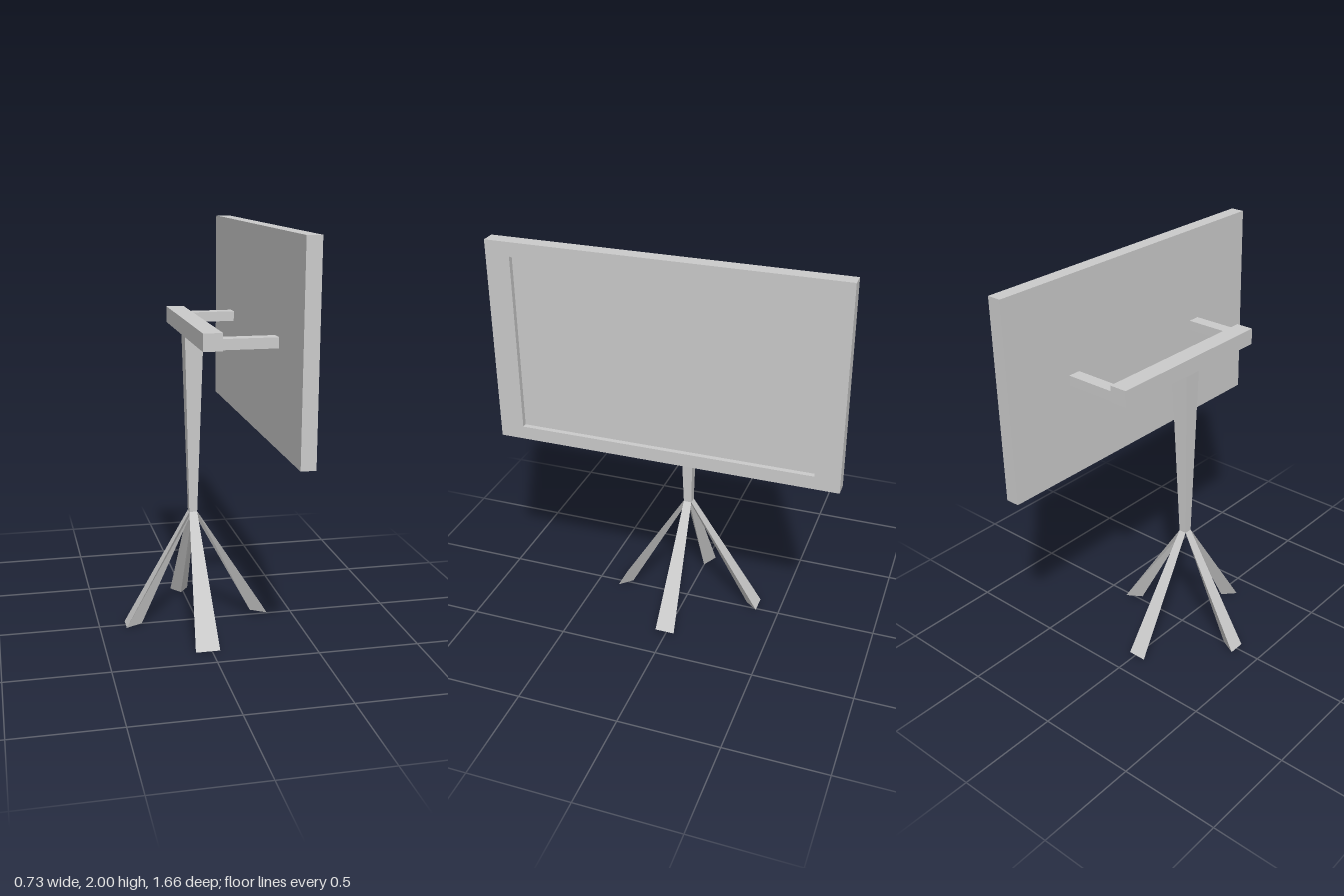
import * as THREE from 'three';

const material = new THREE.MeshStandardMaterial({ color: 0xcccccc, flatShading: true });
const CX = -0.02; // x of the pole's axis

function addMesh(parent, name, geometry, x = 0, y = 0, z = 0) {
  const mesh = new THREE.Mesh(geometry, material);
  mesh.name = name;
  mesh.position.set(x, y, z);
  parent.add(mesh);
  return mesh;
}

// Box given by its minimum and maximum corners
function addBox(parent, name, a, b) {
  const size = b.map((v, i) => v - a[i]);
  const mid = b.map((v, i) => (v + a[i]) / 2);
  return addMesh(parent, name, new THREE.BoxGeometry(...size), ...mid);
}

// Closed solid between two rings, each counter-clockwise seen from above
function loft(bottom, top) {
  const n = bottom.length;
  const points = [];
  for (let i = 0; i < n; i++) {
    const j = (i + 1) % n;
    points.push(bottom[i], bottom[j], top[j], bottom[i], top[j], top[i]);
  }
  for (let i = 1; i < n - 1; i++) {
    points.push(top[0], top[i], top[i + 1], bottom[0], bottom[i + 1], bottom[i]);
  }
  const geometry = new THREE.BufferGeometry();
  geometry.setAttribute('position', new THREE.Float32BufferAttribute(points.flat(), 3));
  geometry.computeVertexNormals();
  return geometry;
}

const square = (h, y) => [[CX + h, y, h], [CX + h, y, -h], [CX - h, y, -h], [CX - h, y, h]];

// Triangle with a wide outer edge and an apex pointing back to the pole
function legSection(dx, dz, outer, inner, half, y) {
  const at = (r, s) => [CX + dx * r - dz * s, y, dz * r + dx * s];
  return [at(outer, half), at(outer, -half), at(inner, 0)];
}

function createScreen() {
  const screen = new THREE.Group();
  screen.name = 'screen';
  addBox(screen, 'screenPanel', [0.28, 1.015, -0.83], [0.325, 2, 0.83]);

  // Raised bezel around the recessed display
  const rect = (path, w, y0, y1) =>
    path.moveTo(-w, y0).lineTo(w, y0).lineTo(w, y1).lineTo(-w, y1).closePath();
  const shape = new THREE.Shape();
  rect(shape, 0.83, 1.015, 2);
  const hole = new THREE.Path();
  rect(hole, 0.713, 1.08, 1.933);
  shape.holes.push(hole);
  const bezel = new THREE.ExtrudeGeometry(shape, { depth: 0.025, bevelEnabled: false });
  bezel.rotateY(Math.PI / 2);
  addMesh(screen, 'bezel', bezel, 0.325);
  return screen;
}

function createStand() {
  const stand = new THREE.Group();
  stand.name = 'stand';
  addMesh(stand, 'pole', loft(square(0.02, 0.59), square(0.045, 1.475)));

  // Four splayed legs: direction, outer reach, apex reach, half width, foot height
  const legs = [
    ['leftLeg', 1, 0, 0.38, 0.303, 0.049, 0.027],
    ['rightLeg', -1, 0, 0.347, 0.264, 0.042, 0.003],
    ['frontLeg', 0, 1, 0.382, 0.32, 0.06, 0.002],
    ['backLeg', 0, -1, 0.387, 0.325, 0.047, 0.016],
  ];
  for (const [name, dx, dz, outer, inner, half, y] of legs) {
    const foot = legSection(dx, dz, outer, inner, half, y);
    const head = legSection(dx, dz, 0.02, 0, 0.02, 0.59);
    addMesh(stand, name, loft(foot, head));
  }
  return stand;
}

function createBracket() {
  const bracket = new THREE.Group();
  bracket.name = 'bracket';
  addBox(bracket, 'crossbar', [-0.065, 1.475, -0.463], [0.025, 1.557, 0.463]);
  for (const side of [1, -1]) {
    const z = side * 0.431;
    addBox(bracket, side > 0 ? 'frontArm' : 'backArm',
      [0.025, 1.48, z - 0.032], [0.28, 1.53, z + 0.032]);
  }
  return bracket;
}

export function createModel() {
  const model = new THREE.Group();
  model.name = 'screenOnStand';
  model.add(createScreen(), createBracket(), createStand());
  return model;
}
